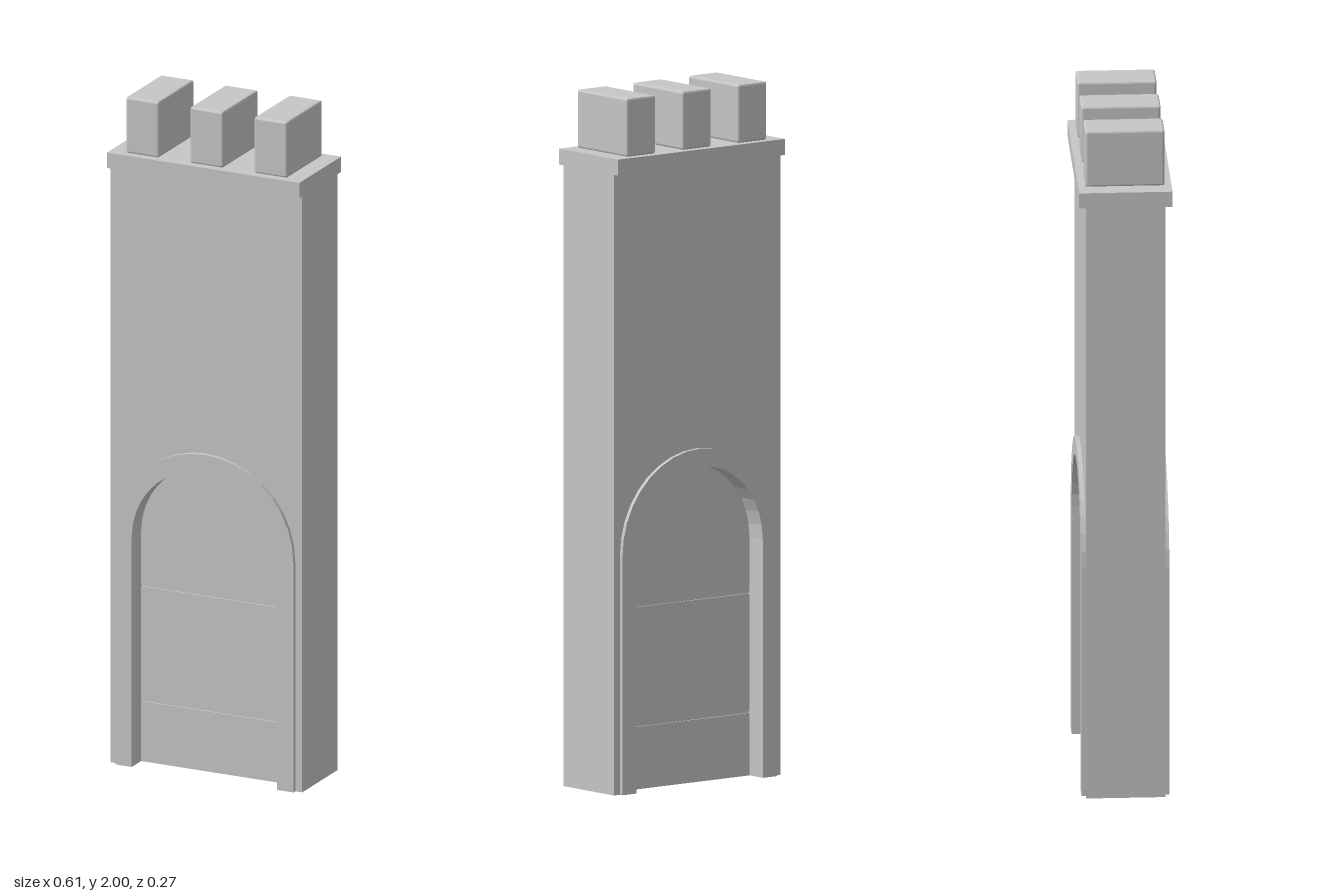
import * as THREE from 'three';
import { RoundedBoxGeometry } from 'three/addons/geometries/RoundedBoxGeometry.js';

const HALF_WIDTH = 0.305, WALL_TOP = 1.786, SPRING = 0.687, INNER = 0.231, OUTER = 0.283;

// Semicircle points running from angle a to angle b around the arch centre
function arc(r, a, b, n = 18) {
  return Array.from({ length: n + 1 }, (_, i) => {
    const t = a + (b - a) * i / n;
    return new THREE.Vector2(r * Math.cos(t), SPRING + r * Math.sin(t));
  });
}

const p = (x, y) => new THREE.Vector2(x, y);

// Extrude an outline symmetrically about z = 0
function slab(points, halfDepth) {
  const geo = new THREE.ExtrudeGeometry(new THREE.Shape(points), { depth: halfDepth * 2, bevelEnabled: false });
  return geo.translate(0, 0, -halfDepth);
}

export function createModel() {
  const stone = new THREE.MeshStandardMaterial({ color: 0xc6c6c6 });
  stone.name = 'light grey stone';
  const model = new THREE.Group();
  model.name = 'gateTower';
  const add = (name, geo) => {
    const mesh = new THREE.Mesh(geo, stone);
    mesh.name = name;
    model.add(mesh);
    return mesh;
  };

  // Wall with an arched opening reaching the ground
  add('wall', slab([
    p(-HALF_WIDTH, 0), p(-OUTER, 0), ...arc(OUTER, Math.PI, 0), p(OUTER, 0),
    p(HALF_WIDTH, 0), p(HALF_WIDTH, WALL_TOP), p(-HALF_WIDTH, WALL_TOP),
  ], 0.113));

  // Arch surround, slightly proud of both wall faces
  add('archFrame', slab([
    p(-OUTER, 0), p(-INNER, 0), ...arc(INNER, Math.PI, 0), p(INNER, 0),
    p(OUTER, 0), ...arc(OUTER, 0, Math.PI),
  ], 0.125));

  // Recessed door: a core with three panels separated by fine grooves
  add('doorCore', slab([p(-INNER, 0.005), p(INNER, 0.005), ...arc(INNER, 0, Math.PI)], 0.06));
  for (const [bottom, top] of [[0, 0.18], [0.185, 0.524]]) {
    add('doorPanel', slab([p(-INNER, bottom), p(INNER, bottom), p(INNER, top), p(-INNER, top)], 0.065));
  }
  add('archedDoorPanel', slab([p(-INNER, 0.529), p(INNER, 0.529), ...arc(INNER, 0, Math.PI)], 0.065));

  // Cornice overhanging front and back
  add('cornice', new THREE.BoxGeometry(0.612, 0.046, 0.266)).position.y = WALL_TOP + 0.023;

  // Battlements with flat chamfered edges
  for (const x of [-0.204, 0, 0.204]) {
    const block = new RoundedBoxGeometry(0.105, 0.168, 0.226, 1, 0.006);
    block.computeVertexNormals();
    add('battlement', block).position.set(x, 1.916, 0);
  }
  return model;
}
